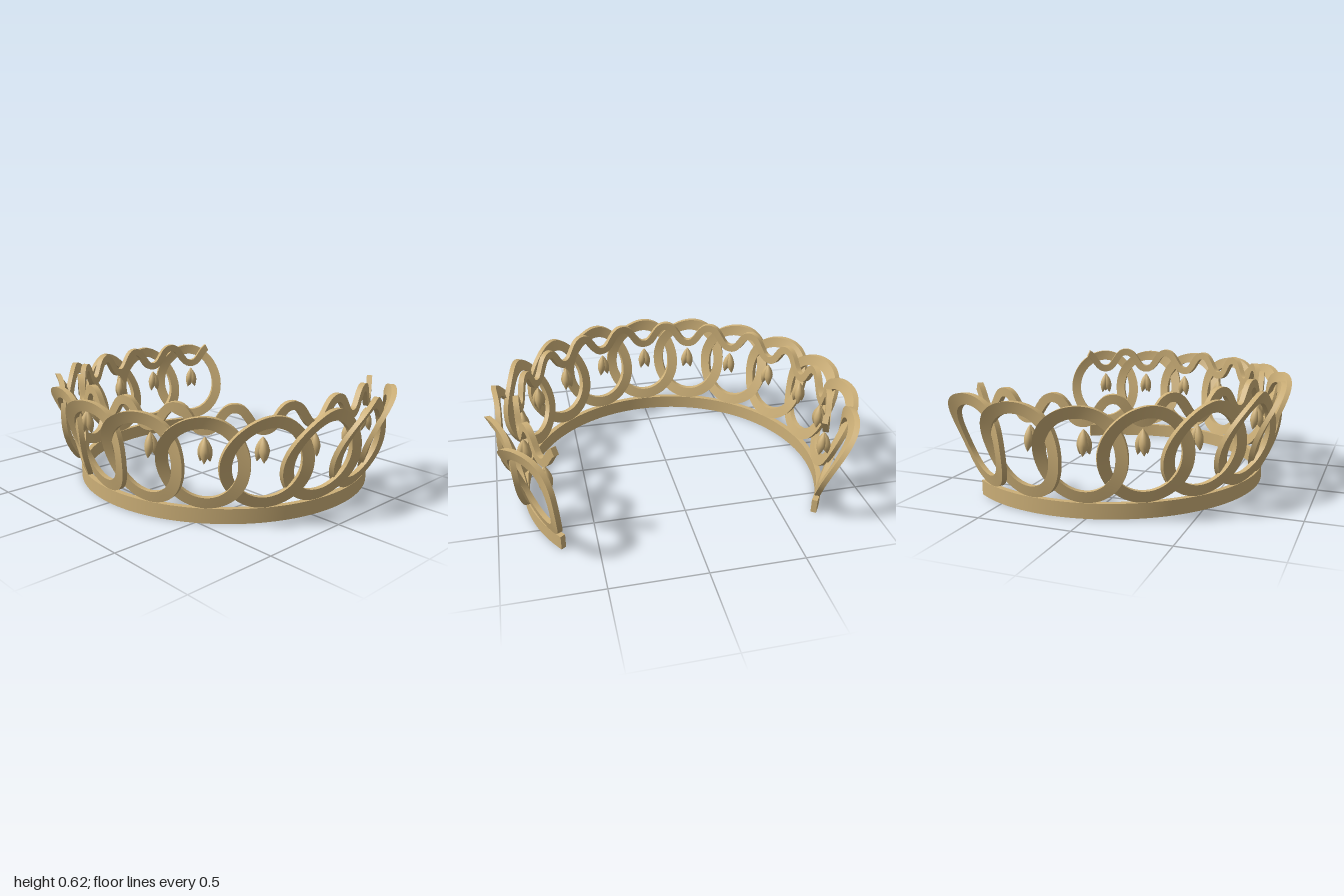
import * as THREE from 'three';
import { toCreasedNormals } from 'three/addons/utils/BufferGeometryUtils.js';

const CZ = -0.175;                             // centre of the tiara's arc
const R = 0.835;                               // middle radius of band and wave
const STEP = THREE.MathUtils.degToRad(19.67);  // angle between neighbouring links
const END = THREE.MathUtils.degToRad(126);     // half of the open arc
const SIDE_LINKS = 6;

const gold = new THREE.MeshStandardMaterial({ color: 0xcdb078 });

function addMesh(parent, name, geometry) {
  const mesh = new THREE.Mesh(geometry, gold);
  mesh.name = name;
  parent.add(mesh);
  return mesh;
}

// Move every vertex of a geometry by a rule, then smooth all but sharp edges
function reshape(geometry, rule) {
  const p = geometry.attributes.position;
  const v = new THREE.Vector3();
  for (let i = 0; i < p.count; i++) {
    rule(v.fromBufferAttribute(p, i));
    p.setXYZ(i, v.x, v.y, v.z);
  }
  return toCreasedNormals(geometry, 0.6);
}

// Strip of given height, following middle(angle) in y and bent round the arc
function bentStrip(height, middle, segments) {
  const box = new THREE.BoxGeometry(2 * END, height, 0.03, segments, 1, 1);
  return reshape(box, (v) => {
    const e = 0.001;
    const slope = (middle(v.x + e) - middle(v.x - e)) / (2 * e * R);
    const len = Math.hypot(1, slope);
    const angle = v.x - (slope / len) * v.y / R;
    const r = R + v.z;
    v.set(r * Math.sin(angle), middle(v.x) + v.y / len, r * Math.cos(angle) + CZ);
  });
}

// Height of the wave's middle line, with rounded crests
function waveHeight(angle) {
  const t = (2 * Math.PI * angle) / STEP;
  return 0.537 - 0.06 * (Math.cos(t) - 0.06 * Math.cos(3 * t));
}

// Flat strip closed into an oval, leaning outward; its upper half is twisted
function linkGeometry() {
  const box = new THREE.BoxGeometry(2 * Math.PI, 0.06, 0.028, 72, 2, 1);
  return reshape(box, (v) => {
    const x = (0.202 + v.y) * Math.sin(v.x);
    const y = (0.222 + v.y) * Math.cos(v.x);
    const twist = 0.7 * (1 + y / 0.25);
    v.set(x, y, v.z + y * (0.26 - twist * x) + 0.06 * x);
  });
}

// Pointed bud hanging down from its own origin
function petalGeometry() {
  const profile = new THREE.SplineCurve([
    [0.001, -0.133], [0.013, -0.112], [0.023, -0.08], [0.02, -0.045], [0.009, -0.015], [0.001, 0],
  ].map(([x, y]) => new THREE.Vector2(x, y)));
  return new THREE.LatheGeometry(profile.getPoints(14), 14);
}

export function createModel() {
  const model = new THREE.Group();
  model.name = 'tiara';

  // Base band and wavy upper ribbon
  addMesh(model, 'baseBand', bentStrip(0.08, () => 0.04, 120));
  addMesh(model, 'waveRibbon', bentStrip(0.044, waveHeight, 312));

  const link = linkGeometry();
  const petal = petalGeometry();

  for (let i = -SIDE_LINKS; i <= SIDE_LINKS; i++) {
    // One station of the arc: local +z points outward
    const station = new THREE.Group();
    station.name = 'station';
    station.position.z = CZ;
    station.rotation.y = i * STEP;
    model.add(station);

    addMesh(station, 'ovalLink', link).position.set(0, 0.333, 0.9);

    // Pendant of three buds under a trough of the wave
    const pendant = new THREE.Group();
    pendant.name = 'pendant';
    pendant.position.set(0, 0.445, 0.828);
    station.add(pendant);
    for (let k = 0; k < 3; k++) {
      const arm = new THREE.Group();
      arm.name = 'petalArm';
      arm.rotation.y = (k * 2 * Math.PI) / 3;
      addMesh(arm, 'petal', petal).rotation.x = -0.22;
      pendant.add(arm);
    }
  }
  return model;
}
